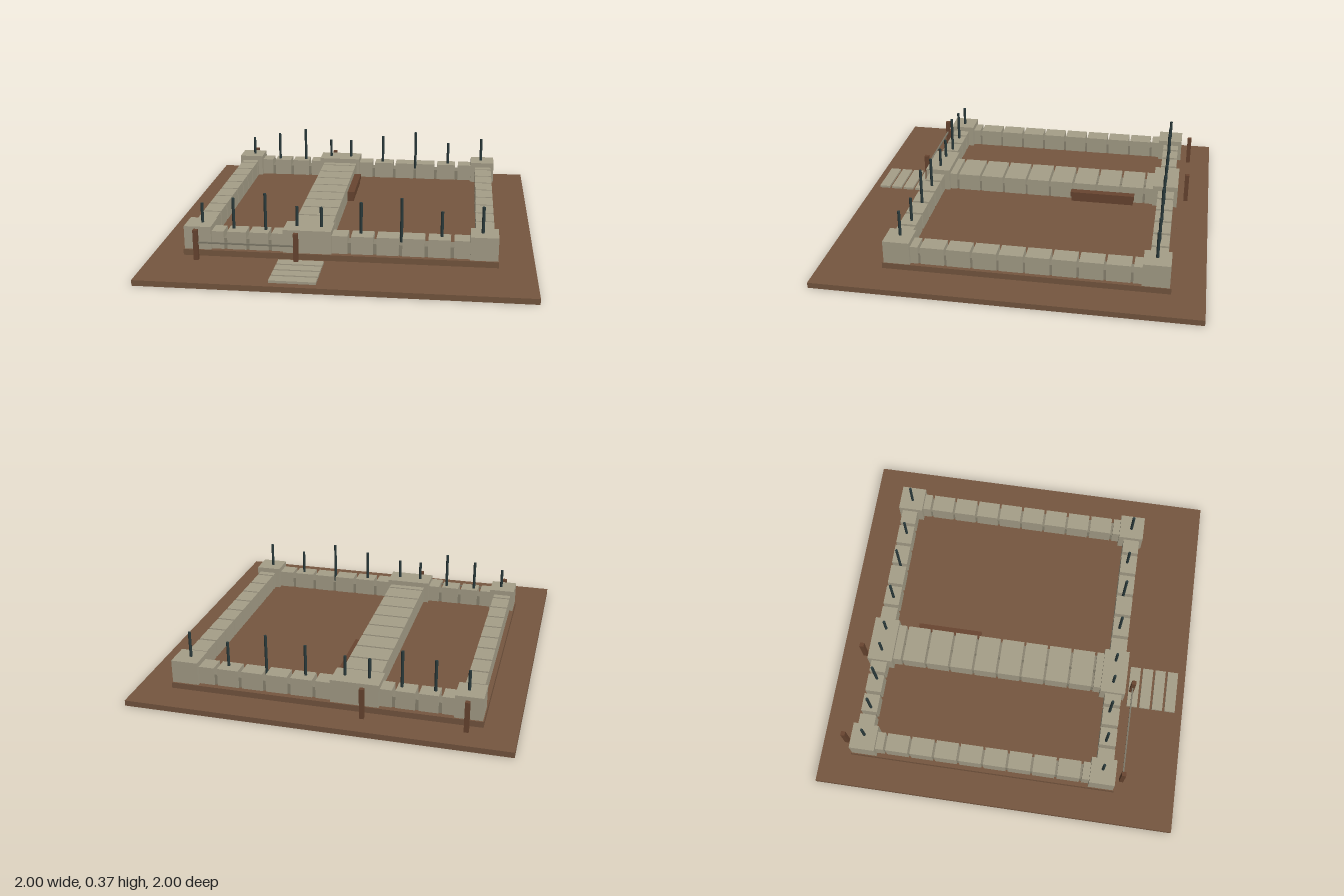
import * as THREE from 'three';

const mat = (name, color) => {
  const m = new THREE.MeshStandardMaterial({ color });
  m.name = name;
  return m;
};

export function createModel() {
  const model = new THREE.Group();
  model.name = 'foundationSite';
  const earth = mat('earth', 0x75563f);
  const wood = mat('wood', 0x684530);
  const stone = mat('stone', 0xa59e88);
  const joint = mat('joint', 0x8a8471);
  const iron = mat('iron', 0x2a3a3b);
  const cord = mat('cord', 0x7d7868);

  const group = (name) => {
    const g = new THREE.Group();
    g.name = name;
    model.add(g);
    return g;
  };
  // Box given by its limits on each axis
  const box = (parent, name, material, [x0, x1], [y0, y1], [z0, z1]) => {
    const mesh = new THREE.Mesh(new THREE.BoxGeometry(x1 - x0, y1 - y0, z1 - z0), material);
    mesh.position.set((x0 + x1) / 2, (y0 + y1) / 2, (z0 + z1) / 2);
    mesh.name = name;
    parent.add(mesh);
  };

  // Ground and the stepped slab
  box(model, 'ground', earth, [-1, 1], [0, 0.03], [-1, 1]);
  box(model, 'slabFooting', earth, [-0.8, 0.785], [0.03, 0.04], [-0.8, 0.635]);
  box(model, 'slab', earth, [-0.828, 0.812], [0.038, 0.07], [-0.828, 0.662]);

  // Corner and junction pillars
  const pillars = group('pillars');
  for (const z of [[-0.82, -0.68], [0.513, 0.653]])
    for (const x of [[-0.823, -0.68], [-0.3, -0.048], [0.665, 0.808]])
      box(pillars, 'pillar', stone, x, [0.07, 0.195], z);

  // A wall is a row of blocks over lower, narrower cores that show in the joints
  const wall = (name, along, [a0, a1], [c0, c1], joints, gap, cores) => {
    const g = group(name);
    const place = (part, material, a, y, c) =>
      along === 'x' ? box(g, part, material, a, y, c) : box(g, part, material, c, y, a);
    const cuts = [a0 - gap / 2, ...joints, a1 + gap / 2];
    for (let i = 0; i + 1 < cuts.length; i++)
      place('block', stone, [cuts[i] + gap / 2, cuts[i + 1] - gap / 2], [0.07, 0.167], [c0, c1]);
    const w = (c1 - c0) / cores;
    for (let i = 0; i < cores; i++)
      place('core', joint, [a0, a1], [0.07, 0.128], [c0 + i * w + 0.008, c0 + (i + 1) * w - 0.008]);
  };
  const series = (start, step, count) => Array.from({ length: count }, (_, i) => start + i * step);

  // Front and back walls
  for (const [side, z] of [['front', [0.543, 0.636]], ['back', [-0.8, -0.71]]]) {
    wall(side + 'WallRight', 'x', [-0.68, -0.3], z, series(-0.607, 0.118, 3), 0.018, 1);
    wall(side + 'WallLeft', 'x', [-0.048, 0.665], z, series(0.044, 0.1325, 5), 0.018, 1);
  }
  // Side walls and the wider middle wall
  const sideJoints = series(-0.63, 0.137, 9);
  wall('rightWall', 'z', [-0.68, 0.513], [-0.804, -0.706], sideJoints, 0.013, 1);
  wall('middleWall', 'z', [-0.68, 0.513], [-0.273, -0.066], sideJoints, 0.013, 2);
  wall('leftWall', 'z', [-0.68, 0.513], [0.692, 0.79], sideJoints, 0.013, 1);

  // Iron bars standing in the front and back walls
  const bars = group('ironBars');
  const xs = [-0.74, -0.573, -0.403, -0.236, -0.108, 0.1, 0.31, 0.518, 0.727];
  const tops = [0.302, 0.335, 0.366, 0.302, 0.302, 0.335, 0.366, 0.302, 0.335];
  for (const z of [0.58, -0.748])
    xs.forEach((x, i) => {
      const h = tops[i] - 0.07;
      const bar = new THREE.Mesh(new THREE.CylinderGeometry(0.008, 0.008, h, 8), iron);
      bar.position.set(x, 0.07 + h / 2, z);
      bar.name = 'ironBar';
      bars.add(bar);
    });

  // Marker stakes, with a cord between the front pair
  const stakes = group('stakes');
  for (const x of [-0.75, -0.225])
    for (const z of [0.697, -0.868])
      box(stakes, 'stake', wood, [x - 0.012, x + 0.012], [0.03, 0.195], [z - 0.012, z + 0.012]);
  box(stakes, 'cord', cord, [-0.738, -0.237], [0.121, 0.129], [0.693, 0.701]);

  // Bench against the middle wall
  const bench = group('bench');
  box(bench, 'benchBase', wood, [-0.066, -0.03], [0.07, 0.1], [-0.57, -0.215]);
  box(bench, 'benchSeat', wood, [-0.066, -0.025], [0.1, 0.128], [-0.575, -0.21]);

  // Paving slabs in front
  const path = group('path');
  for (const z of series(0.68, 0.0725, 4))
    box(path, 'pavingSlab', stone, [-0.32, -0.083], [0.03, 0.043], [z, z + 0.059]);

  return model;
}
